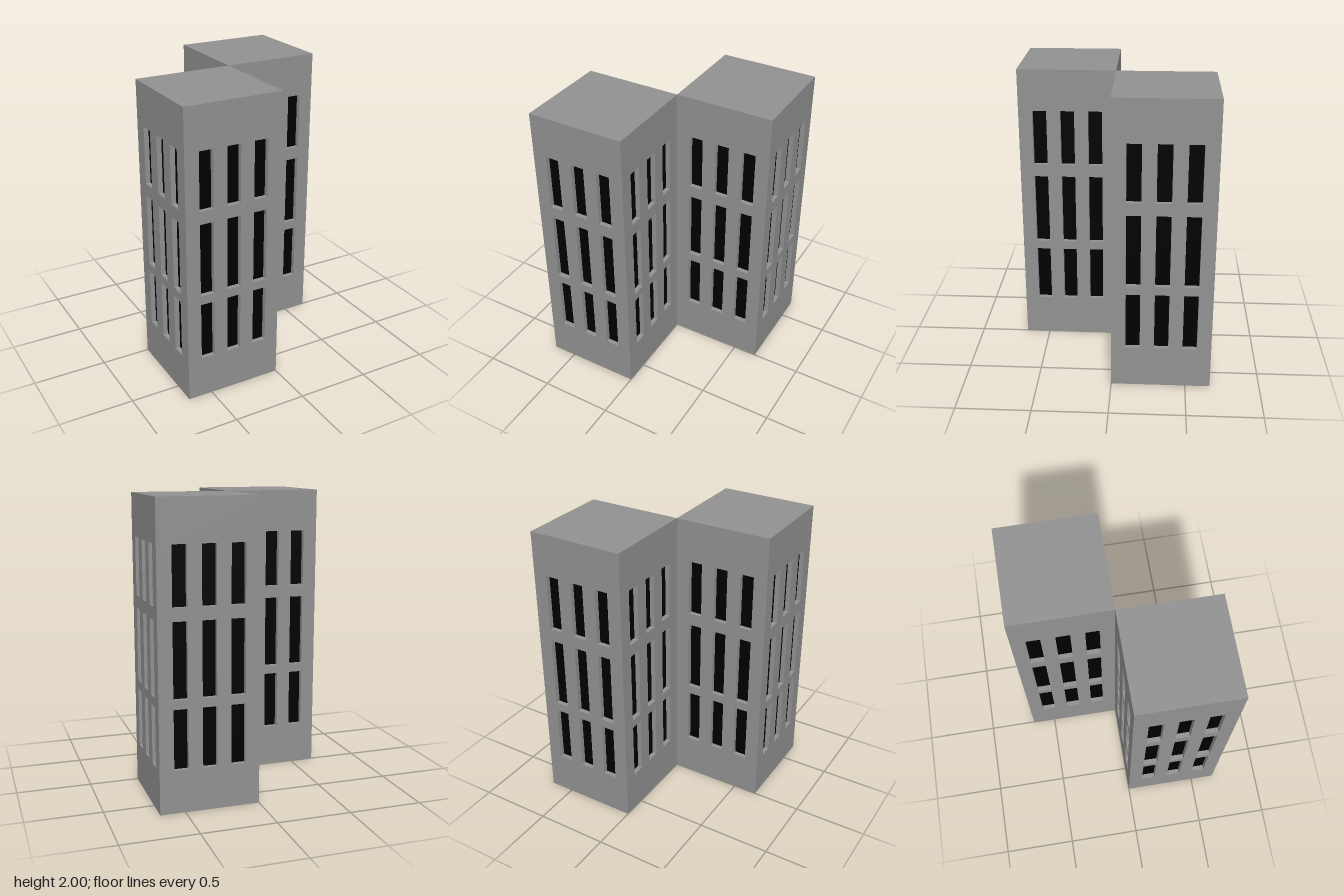
import * as THREE from 'three';
import { mergeGeometries } from 'three/addons/utils/BufferGeometryUtils.js';

const W = 2 / 3;          // tower width and depth
const H = 2;              // tower height
const RECESS = 0.033;     // depth of the window openings
const WINDOW_W = 0.095;
const COLUMNS = [-0.19, 0, 0.19];
const ROWS = [[0.287, 0.686], [0.747, 1.243], [1.329, 1.716]];

const windows = ROWS.flatMap(([y0, y1]) => COLUMNS.map((x) => ({ x, y0, y1 })));

function rectangle(Type, x0, y0, x1, y1) {
  const path = new Type();
  path.moveTo(x0, y0);
  path.lineTo(x1, y0);
  path.lineTo(x1, y1);
  path.lineTo(x0, y1);
  path.closePath();
  return path;
}

// Pierced wall, outer face at z = 0, with its border mitred inwards
function facadeGeometry() {
  const shape = rectangle(THREE.Shape, -W / 2, 0, W / 2, H);
  for (const { x, y0, y1 } of windows) {
    shape.holes.push(rectangle(THREE.Path, x - WINDOW_W / 2, y0, x + WINDOW_W / 2, y1));
  }
  const geometry = new THREE.ExtrudeGeometry(shape, { depth: RECESS, bevelEnabled: false });
  geometry.translate(0, 0, -RECESS);
  const p = geometry.attributes.position;
  for (let i = 0; i < p.count; i++) {
    if (p.getZ(i) > -RECESS / 2) continue;
    const limit = W / 2 - RECESS;
    p.setX(i, THREE.MathUtils.clamp(p.getX(i), -limit, limit));
    p.setY(i, THREE.MathUtils.clamp(p.getY(i), RECESS, H - RECESS));
  }
  geometry.computeVertexNormals();
  return geometry;
}

// Black panes at the back of the openings
function panesGeometry() {
  return mergeGeometries(windows.map(({ x, y0, y1 }) =>
    new THREE.PlaneGeometry(WINDOW_W, y1 - y0).translate(x, (y0 + y1) / 2, -RECESS)));
}

export function createModel() {
  const wallMaterial = new THREE.MeshStandardMaterial({ color: 0x929292 });
  const paneMaterial = new THREE.MeshStandardMaterial({ color: 0x000000 });
  const facade = facadeGeometry();
  const panes = panesGeometry();
  const roof = new THREE.PlaneGeometry(W, W).rotateX(-Math.PI / 2).translate(0, H, 0);
  const base = new THREE.PlaneGeometry(W, W).rotateX(Math.PI / 2);

  const add = (parent, name, geometry, material) => {
    const mesh = new THREE.Mesh(geometry, material);
    mesh.name = name;
    parent.add(mesh);
  };

  function tower(name, x, z) {
    const group = new THREE.Group();
    group.name = name;
    group.position.set(x, 0, z);
    ['front', 'left', 'back', 'right'].forEach((side, i) => {
      const wall = new THREE.Group();
      wall.name = `${side}Wall`;
      wall.rotation.y = i * Math.PI / 2;
      wall.position.set(Math.sin(wall.rotation.y) * W / 2, 0, Math.cos(wall.rotation.y) * W / 2);
      add(wall, 'facade', facade, wallMaterial);
      add(wall, 'windowPanes', panes, paneMaterial);
      group.add(wall);
    });
    add(group, 'roof', roof, wallMaterial);
    add(group, 'base', base, wallMaterial);
    return group;
  }

  // Two towers touching along one vertical edge
  const model = new THREE.Group();
  model.name = 'twinTowerBuilding';
  model.add(tower('frontTower', -W / 2, W / 2), tower('backTower', W / 2, -W / 2));
  return model;
}
